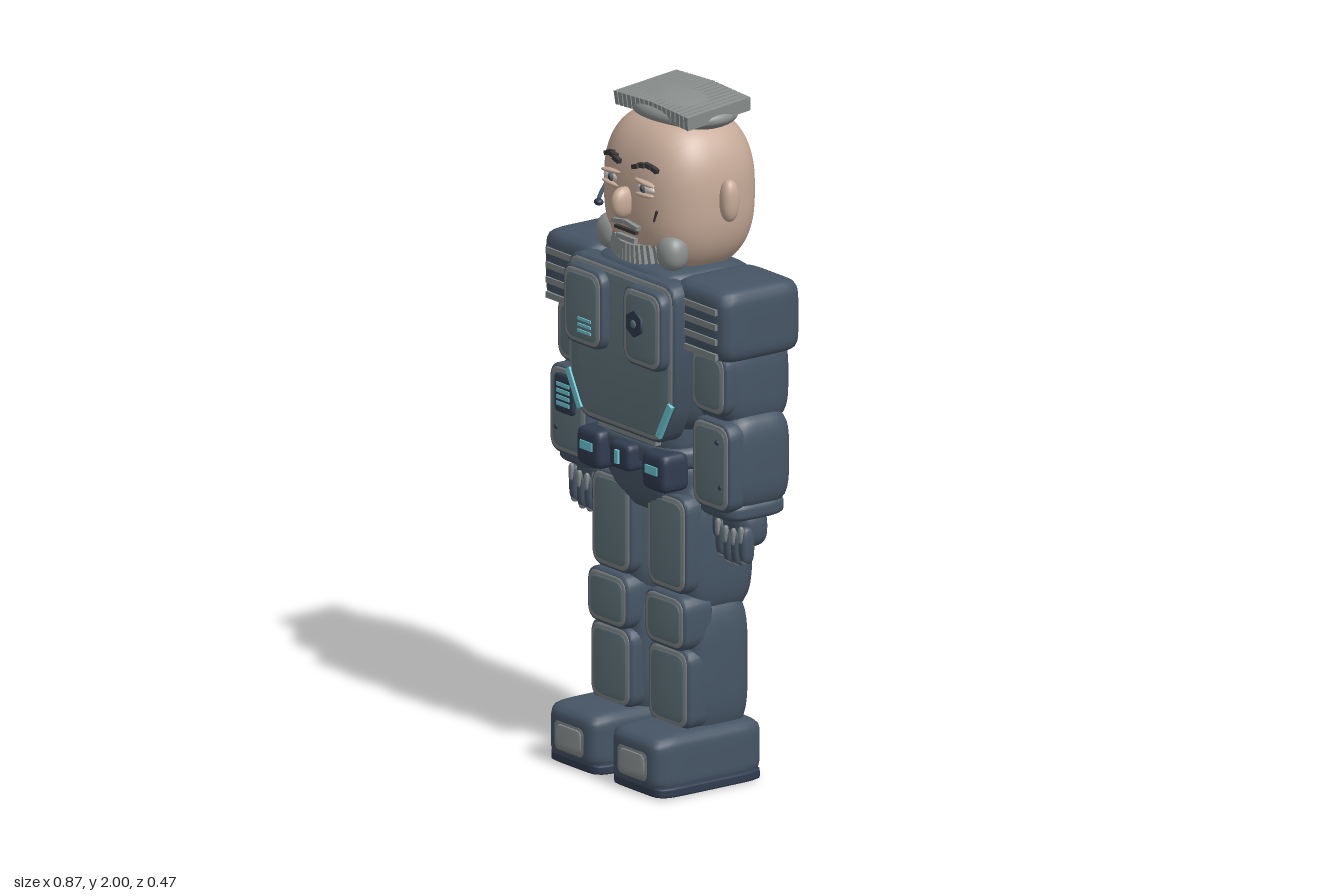
import * as THREE from 'three';
import { mergeVertices, toCreasedNormals } from 'three/addons/utils/BufferGeometryUtils.js';

const mat = (name, color) => {
  const m = new THREE.MeshStandardMaterial({ color });
  m.name = name;
  return m;
};
const M = {
  suit: mat('navy suit', 0x465565),
  dark: mat('dark navy', 0x303c50),
  plate: mat('armour plate', 0x5f7279),
  rim: mat('worn edge', 0x7f8585),
  cyan: mat('cyan light', 0x6cc9d6),
  skin: mat('skin', 0xc6aa98),
  hair: mat('grey hair', 0x8b908f),
  brow: mat('dark brow', 0x3a3838),
  white: mat('eye white', 0xd6cfc8),
  pale: mat('toe plate', 0x8f9495),
};

function add(parent, name, geo, material, x = 0, y = 0, z = 0) {
  const mesh = new THREE.Mesh(geo, material);
  mesh.name = name;
  mesh.position.set(x, y, z);
  parent.add(mesh);
  return mesh;
}

// Rounded solid: cube points pulled onto a superellipsoid; higher n is boxier
function blob(rx, ry, rz, n = 4, seg = 14) {
  let g = new THREE.BoxGeometry(2, 2, 2, seg, seg, seg);
  g.deleteAttribute('uv');
  g.deleteAttribute('normal');
  g = mergeVertices(g);
  const p = g.attributes.position;
  for (let i = 0; i < p.count; i++) {
    const v = [p.getX(i), p.getY(i), p.getZ(i)].map((c) => Math.tan(c * Math.PI / 4));
    const k = v.reduce((s, c) => s + Math.abs(c) ** n, 0) ** (-1 / n);
    p.setXYZ(i, v[0] * k * rx, v[1] * k * ry, v[2] * k * rz);
  }
  g.computeVertexNormals();
  return g;
}

// Rounded solid given by its limits on each axis
function span(parent, name, m, [x0, x1], [y0, y1], [z0, z1], n = 4) {
  return add(parent, name, blob((x1 - x0) / 2, (y1 - y0) / 2, (z1 - z0) / 2, n), m,
    (x0 + x1) / 2, (y0 + y1) / 2, (z0 + z1) / 2);
}

const box = (w, h, d) => new THREE.BoxGeometry(w, h, d);

// Outline with rounded corners; bottom half-width may taper below the hip line
function outline(w, h, r, taper = 0) {
  const a = w / 2, b = h / 2, c = a - taper, s = new THREE.Shape();
  s.moveTo(-c + r, -b);
  s.lineTo(c - r, -b);
  s.quadraticCurveTo(c, -b, c + taper * 0.3, -b + r);
  if (taper) s.lineTo(a, -b + taper * 2);
  s.lineTo(a, b - r);
  s.quadraticCurveTo(a, b, a - r, b);
  s.lineTo(-a + r, b);
  s.quadraticCurveTo(-a, b, -a, b - r);
  if (taper) s.lineTo(-a, -b + taper * 2);
  s.lineTo(-c - taper * 0.3, -b + r);
  s.quadraticCurveTo(-c, -b, -c + r, -b);
  return s;
}

function slab(w, h, d, r, taper, bevel) {
  const g = new THREE.ExtrudeGeometry(outline(w - 2 * bevel, h - 2 * bevel, r, taper), {
    depth: d - bevel, bevelEnabled: true, bevelThickness: bevel, bevelSize: bevel, bevelSegments: 3, curveSegments: 6,
  });
  return toCreasedNormals(g, 0.7);
}

// Armour panel: dark base, worn rim and plate face, front surface at z
function panel(parent, name, x, y, z, w, h, d, r = 0.035, taper = 0, face = M.plate) {
  const g = new THREE.Group();
  g.name = name;
  g.position.set(x, y, z);
  parent.add(g);
  add(g, 'panelBase', slab(w, h, d, r, taper, 0.012), M.suit, 0, 0, -d - 0.004);
  add(g, 'panelRim', slab(w - 0.016, h - 0.016, 0.012, r, taper, 0.006), M.rim, 0, 0, -0.014);
  add(g, 'panelFace', slab(w - 0.042, h - 0.042, 0.01, r * 0.85, taper, 0.004), face, 0, 0, -0.01);
  return g;
}

function buildHead(root) {
  const head = new THREE.Group();
  head.name = 'head';
  root.add(head);
  add(head, 'skull', blob(0.215, 0.24, 0.188, 2.6, 24), M.skin, 0, 1.715, -0.047);
  add(head, 'nose', blob(0.024, 0.046, 0.04, 2.2), M.skin, 0, 1.7, 0.153);
  // Hair cap with combed strands
  add(head, 'hairCap', blob(0.18, 0.05, 0.132, 2.1, 18), M.hair, 0, 1.945, -0.065);
  for (let i = -8; i <= 8; i++) {
    const strand = add(head, 'hairStrand', box(0.016, 0.04, 0.225), M.hair, i * 0.0205, 1.972 - Math.abs(i) * 0.001, -0.058);
    strand.rotation.set(0.1, 0, -i * 0.012);
  }
  for (const s of [-1, 1]) {
    add(head, 'ear', blob(0.026, 0.062, 0.028, 2.3), M.skin, s * 0.228, 1.722, -0.052);
    add(head, 'eyeWhite', blob(0.04, 0.015, 0.01, 2), M.white, s * 0.078, 1.755, 0.132);
    add(head, 'iris', blob(0.013, 0.013, 0.006, 2, 8), M.plate, s * 0.075, 1.756, 0.14);
    add(head, 'pupil', blob(0.006, 0.006, 0.004, 2, 6), M.brow, s * 0.075, 1.756, 0.145);
    for (const [dy, w, m, rot] of [[0.018, 0.09, M.skin, -0.08], [-0.018, 0.08, M.skin, 0.06]]) {
      add(head, 'eyelid', blob(w / 2, 0.007, 0.012, 2.2, 8), m, s * 0.078, 1.755 + dy, 0.136).rotation.z = s * rot;
    }
    // Brow, moustache and beard strands
    for (let i = 0; i < 4; i++) {
      add(head, 'brow', box(0.028, 0.013, 0.014), M.brow, s * (0.045 + i * 0.021), 1.815 + [0, 0.007, 0.009, 0.002][i], 0.142 - i * 0.006)
        .rotation.z = s * (0.3 - i * 0.2);
    }
    add(head, 'moustache', box(0.06, 0.012, 0.016), M.hair, s * 0.03, 1.637, 0.143).rotation.z = -s * 0.15;
    add(head, 'beardCheek', blob(0.046, 0.052, 0.042, 2.3), M.hair, s * 0.142, 1.572, 0.085);
    for (let i = 0; i < 7; i++) {
      add(head, 'beardStrand', box(0.014, 0.055, 0.018), M.hair, s * (0.009 + i * 0.018), 1.55 + i * i * 0.0005, 0.134 - i * i * 0.0011)
        .rotation.z = s * i * 0.06;
    }
  }
  add(head, 'upperLip', box(0.1, 0.009, 0.012), M.brow, 0, 1.618, 0.143);
  add(head, 'lowerLip', box(0.085, 0.014, 0.014), M.hair, 0, 1.592, 0.14);
  add(head, 'scar', box(0.006, 0.036, 0.006), M.brow, 0.115, 1.68, 0.125).rotation.z = -0.35;
  // Headset on the right ear
  span(head, 'earpiece', M.dark, [-0.26, -0.205], [1.67, 1.84], [-0.075, -0.008], 6);
  const boom = new THREE.CatmullRomCurve3([
    [-0.25, 1.72, -0.02], [-0.245, 1.685, 0.02], [-0.2, 1.66, 0.085], [-0.145, 1.665, 0.13],
  ].map((p) => new THREE.Vector3(...p)));
  add(head, 'microphoneBoom', new THREE.TubeGeometry(boom, 20, 0.006, 8), M.suit);
  add(head, 'microphone', blob(0.014, 0.01, 0.012, 2.3, 8), M.dark, -0.142, 1.664, 0.133);
}

function buildTorso(root) {
  const t = new THREE.Group();
  t.name = 'torso';
  root.add(t);
  span(t, 'chestBody', M.suit, [-0.26, 0.26], [1.04, 1.515], [-0.21, 0.14], 5);
  span(t, 'collar', M.suit, [-0.19, 0.19], [1.44, 1.525], [-0.14, 0.14], 4);
  span(t, 'waist', M.suit, [-0.2, 0.2], [0.95, 1.12], [-0.17, 0.13], 4);
  span(t, 'belt', M.suit, [-0.215, 0.215], [0.925, 1.015], [-0.192, 0.135], 4);
  span(t, 'pelvis', M.suit, [-0.19, 0.19], [0.77, 0.98], [-0.175, 0.105], 4);
  panel(t, 'chestPlate', 0, 1.265, 0.166, 0.5, 0.48, 0.06, 0.04, 0.05);
  add(t, 'waistTrim', box(0.27, 0.018, 0.02), M.rim, 0, 1.015, 0.13);
  for (const s of [-1, 1]) {
    panel(t, 'chestPocket', s * 0.14, 1.365, 0.198, 0.185, 0.235, 0.035);
    const strip = add(t, 'chestLight', box(0.02, 0.12, 0.012), M.cyan, s * 0.212, 1.103, 0.166);
    strip.rotation.z = -s * 0.5;
    span(t, 'beltPouch', M.dark, [s * 0.153 - 0.055, s * 0.153 + 0.055], [0.88, 0.995], [0.07, 0.168], 6);
    add(t, 'pouchLight', box(0.055, 0.025, 0.008), M.cyan, s * 0.153, 0.945, 0.168);
  }
  for (let i = 0; i < 3; i++) add(t, 'pocketLight', box(0.06, 0.008, 0.006), M.cyan, -0.122, 1.33 - i * 0.018, 0.199);
  const badge = add(t, 'plainBadge', new THREE.CylinderGeometry(0.04, 0.04, 0.009, 6), M.dark, 0.115, 1.375, 0.2);
  badge.rotation.x = Math.PI / 2;
  add(t, 'badgeDot', blob(0.012, 0.012, 0.004, 2, 6), M.plate, 0.115, 1.375, 0.205);
  span(t, 'buckle', M.dark, [-0.048, 0.048], [0.91, 0.99], [0.1, 0.172], 6);
  add(t, 'buckleLight', box(0.016, 0.04, 0.012), M.cyan, 0, 0.95, 0.174);
}

function buildArm(root, s) {
  const a = new THREE.Group();
  a.name = s > 0 ? 'leftArm' : 'rightArm';
  root.add(a);
  const xs = (i, o) => (s > 0 ? [i, o] : [-o, -i]);
  span(a, 'shoulderGuard', M.suit, xs(0.18, 0.433), [1.303, 1.52], [-0.165, 0.122], 7);
  for (let i = 0; i < 4; i++) add(a, 'shoulderVent', box(0.185, 0.018, 0.012), M.rim, s * 0.305, 1.46 - i * 0.044, 0.122);
  span(a, 'upperArm', M.suit, xs(0.215, 0.408), [1.09, 1.36], [-0.155, 0.082], 4);
  panel(a, 'upperArmPanel', s * 0.315, 1.23, 0.094, 0.165, 0.19, 0.04);
  span(a, 'forearm', M.suit, xs(0.23, 0.432), [0.85, 1.145], [-0.14, 0.085], 4);
  panel(a, 'forearmPanel', s * 0.335, 0.99, 0.1, 0.18, 0.265, 0.045);
  span(a, 'cuff', M.suit, xs(0.24, 0.423), [0.825, 0.885], [-0.125, 0.085], 4);
  // Hand with four fingers and a thumb
  span(a, 'palm', M.suit, xs(0.275, 0.41), [0.735, 0.86], [-0.07, 0.03], 3);
  for (let i = 0; i < 4; i++) {
    const x = s * (0.29 + i * 0.036), drop = i % 3 ? 0.012 : 0;
    add(a, 'finger', blob(0.017, 0.055, 0.022, 3, 8), M.suit, x, 0.752 - drop, 0.016);
    add(a, 'fingerPlate', blob(0.009, 0.026, 0.008, 3, 8), M.rim, x, 0.785 - drop, 0.035);
    add(a, 'fingertip', blob(0.011, 0.014, 0.012, 2.4, 8), M.rim, x, 0.709 - drop, 0.022);
  }
  add(a, 'thumb', blob(0.018, 0.042, 0.022, 2.6, 8), M.suit, s * 0.267, 0.785, 0.01);
  if (s < 0) {
    // Wrist display
    span(a, 'wristDisplay', M.dark, [-0.382, -0.293], [0.985, 1.1], [0.085, 0.112], 8);
    for (let i = 0; i < 4; i++) add(a, 'displayLine', box(0.06, 0.011, 0.006), M.cyan, -0.337, 1.07 - i * 0.019, 0.112);
  }
  for (const [x, y] of [[0.385, 0.935], [0.37, 1.065]]) {
    if (s > 0 || y < 1) add(a, 'panelBolt', blob(0.008, 0.008, 0.004, 2, 6), M.dark, s * x, y, 0.101);
  }
}

function buildLeg(root, s) {
  const l = new THREE.Group();
  l.name = s > 0 ? 'leftLeg' : 'rightLeg';
  root.add(l);
  const xs = (i, o) => (s > 0 ? [i, o] : [-o, -i]);
  span(l, 'thigh', M.suit, xs(0.022, 0.235), [0.49, 0.9], [-0.16, 0.085], 4);
  span(l, 'shin', M.suit, xs(0.025, 0.238), [0.13, 0.56], [-0.14, 0.08], 4);
  panel(l, 'thighPanel', s * 0.13, 0.715, 0.102, 0.19, 0.29, 0.06);
  panel(l, 'kneePad', s * 0.135, 0.487, 0.113, 0.193, 0.163, 0.09);
  panel(l, 'shinPanel', s * 0.135, 0.29, 0.1, 0.195, 0.24, 0.06);
  span(l, 'boot', M.suit, xs(0.028, 0.265), [0.012, 0.18], [-0.157, 0.235], 7);
  span(l, 'sole', M.dark, xs(0.022, 0.273), [0, 0.035], [-0.15, 0.226], 8);
  panel(l, 'toePlate', s * 0.148, 0.09, 0.237, 0.16, 0.11, 0.02, 0.02, 0, M.pale);
}

export function createModel() {
  const root = new THREE.Group();
  root.name = 'armouredFigure';
  buildHead(root);
  buildTorso(root);
  for (const s of [-1, 1]) {
    buildArm(root, s);
    buildLeg(root, s);
  }
  return root;
}
